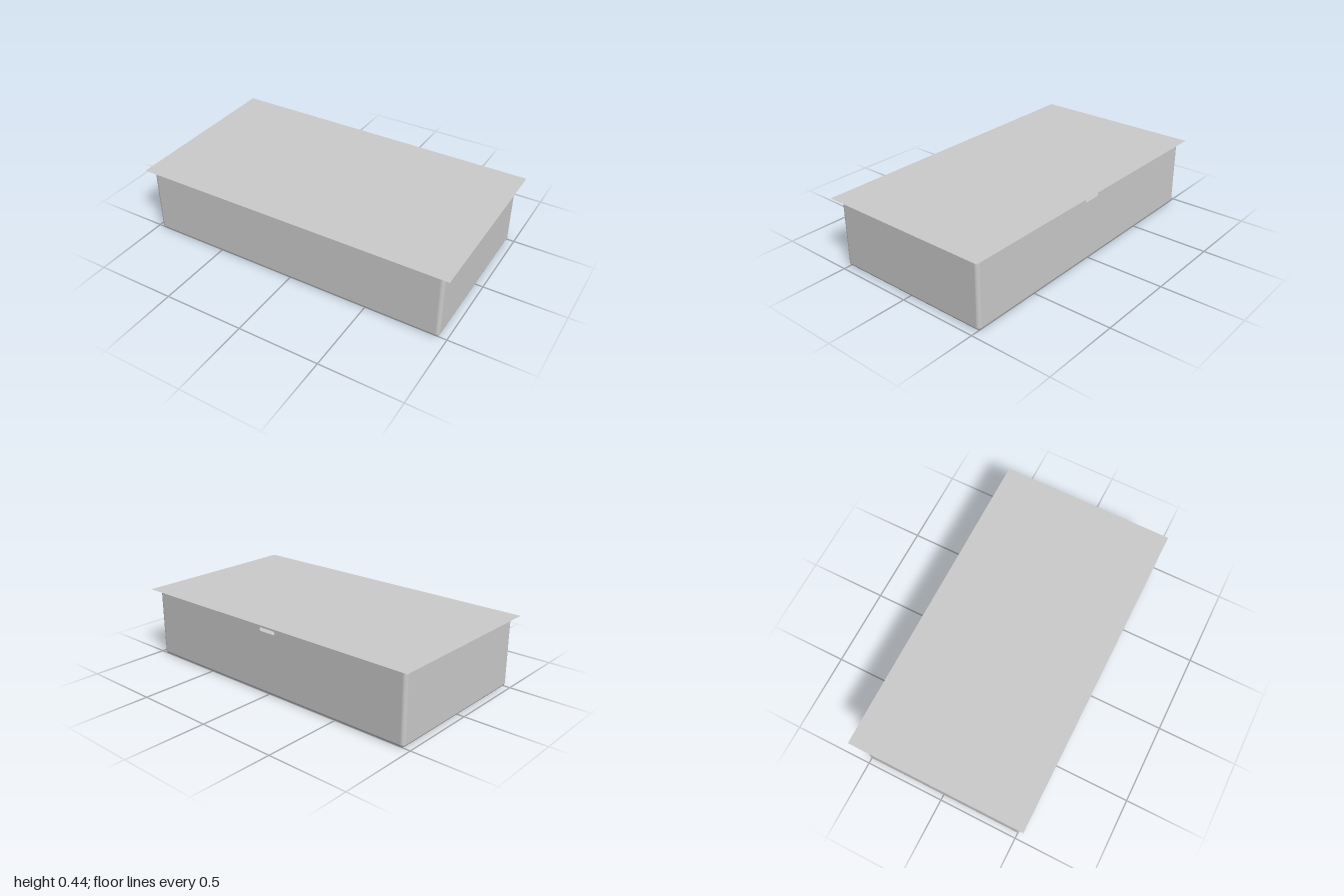
import * as THREE from 'three';

const TOP = 0.437;      // rim height
const R = 0.022;        // corner and bottom edge radius
const HX = 0.962, HZ = 0.513, CX = -0.005; // tub half sizes and x offset
const SEG = 8;

// Tub walls: a rounded rectangle swept down and round into the floor.
// The flat part of the back wall is left out for the slotted panel.
function tubGeometry() {
  const pos = [], nor = [], idx = [];
  const corners = [[1, 1], [-1, 1], [-1, -1], [1, -1]];
  const cols = 4 * (SEG + 1);
  for (let row = 0; row <= SEG + 1; row++) {
    const b = Math.max(0, row - 1) / SEG * Math.PI / 2;
    corners.forEach(([sx, sz], c) => {
      for (let i = 0; i <= SEG; i++) {
        const a = (c + i / SEG) * Math.PI / 2;
        const n = [Math.cos(a) * Math.cos(b), -Math.sin(b), Math.sin(a) * Math.cos(b)];
        nor.push(...n);
        pos.push(CX + sx * (HX - R) + R * n[0],
          row === 0 ? TOP : R + R * n[1],
          sz * (HZ - R) + R * n[2]);
      }
    });
  }
  const backCol = 3 * (SEG + 1) - 1;
  for (let row = 0; row <= SEG; row++) {
    for (let i = 0; i < cols; i++) {
      if (row === 0 && i === backCol) continue;
      const p = row * cols + i, q = row * cols + (i + 1) % cols;
      idx.push(p, q, p + cols, q, q + cols, p + cols);
    }
  }
  const g = new THREE.BufferGeometry();
  g.setAttribute('position', new THREE.Float32BufferAttribute(pos, 3));
  g.setAttribute('normal', new THREE.Float32BufferAttribute(nor, 3));
  g.setIndex(idx);
  return g;
}

// Back wall panel with a rounded overflow slot
function backPanelGeometry() {
  const w = HX - R, s = new THREE.Shape();
  s.moveTo(-w, R).lineTo(w, R).lineTo(w, TOP).lineTo(-w, TOP).closePath();
  const slot = new THREE.Path(), h = 0.011, l = 0.048, y = 0.395;
  slot.absarc(l, y, h, -Math.PI / 2, Math.PI / 2, false);
  slot.absarc(-l, y, h, Math.PI / 2, Math.PI * 1.5, false);
  slot.closePath();
  s.holes.push(slot);
  return new THREE.ShapeGeometry(s, 8).rotateY(Math.PI).translate(CX, 0, -HZ);
}

export function createModel() {
  const group = new THREE.Group();
  const material = new THREE.MeshStandardMaterial({ color: 0xcccccc, side: THREE.DoubleSide });
  const add = (name, geometry) => {
    const mesh = new THREE.Mesh(geometry, material);
    mesh.name = name;
    group.add(mesh);
  };
  add('tubWalls', tubGeometry());
  add('backPanel', backPanelGeometry());
  add('tubFloor', new THREE.PlaneGeometry(2 * (HX - R), 2 * (HZ - R)).rotateX(Math.PI / 2).translate(CX, 0, 0));
  // Thin top sheet overhanging the tub on all sides
  add('topSheet', new THREE.PlaneGeometry(2, 1.1).rotateX(-Math.PI / 2).translate(0, TOP, 0));
  return group;
}
